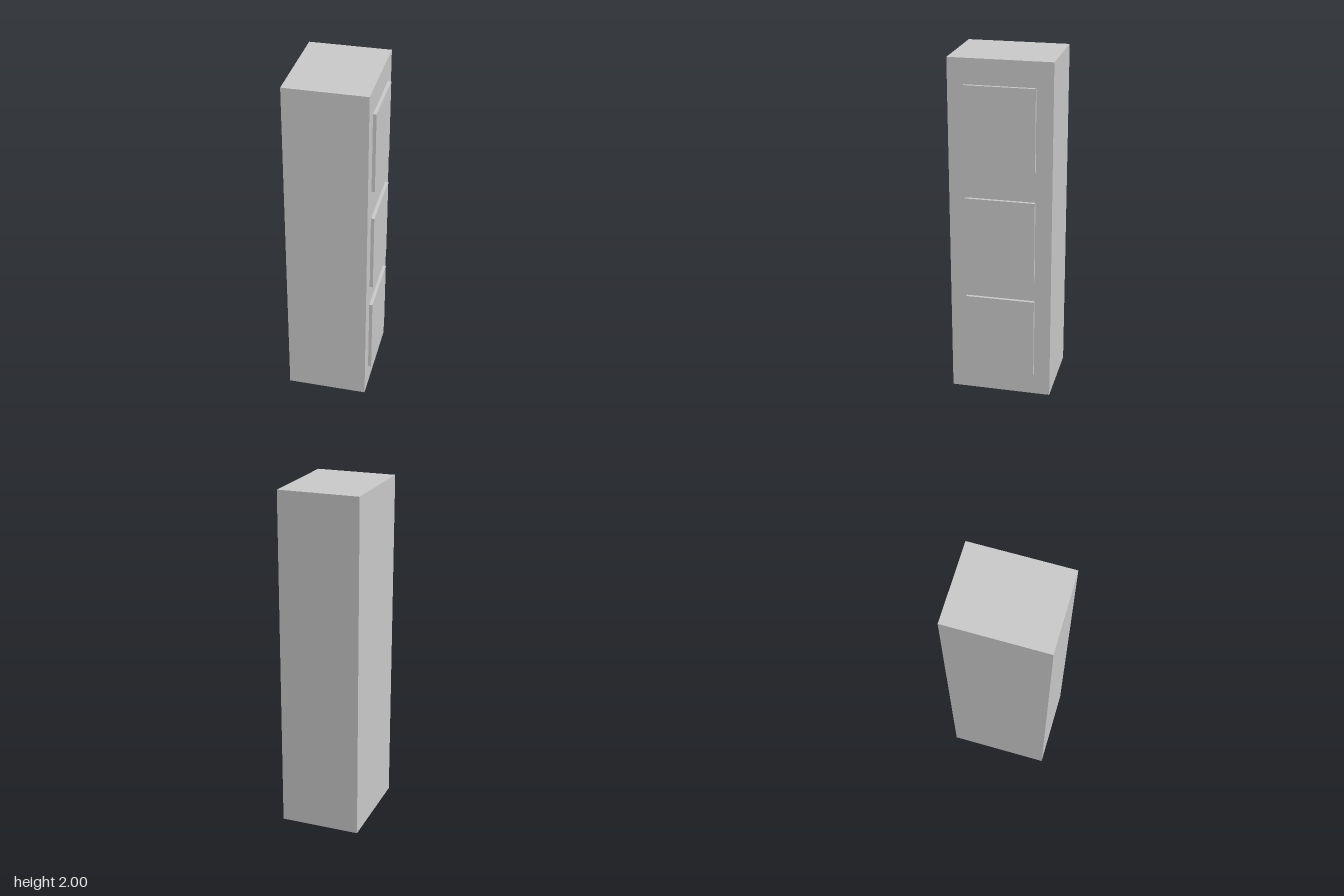
import * as THREE from 'three';

const BODY = { left: -0.244, right: 0.225, height: 2, depth: 0.588 };
const PANEL = { proud: 0.019, height: 0.473, depth: 0.4 };
const PANEL_CENTRES = { lowerPanel: 0.368, middlePanel: 0.971, upperPanel: 1.619 };

export function createModel() {
  const group = new THREE.Group();
  group.name = 'panelledTower';
  const material = new THREE.MeshStandardMaterial({ color: 0xcccccc });

  const addBox = (name, width, height, depth, x, y) => {
    const mesh = new THREE.Mesh(new THREE.BoxGeometry(width, height, depth), material);
    mesh.name = name;
    mesh.position.set(x, y, 0);
    group.add(mesh);
  };

  // Tall plain block
  addBox('body', BODY.right - BODY.left, BODY.height, BODY.depth,
    (BODY.left + BODY.right) / 2, BODY.height / 2);

  // Three raised panels on the +x side
  for (const [name, y] of Object.entries(PANEL_CENTRES)) {
    addBox(name, PANEL.proud, PANEL.height, PANEL.depth, BODY.right + PANEL.proud / 2, y);
  }

  return group;
}
